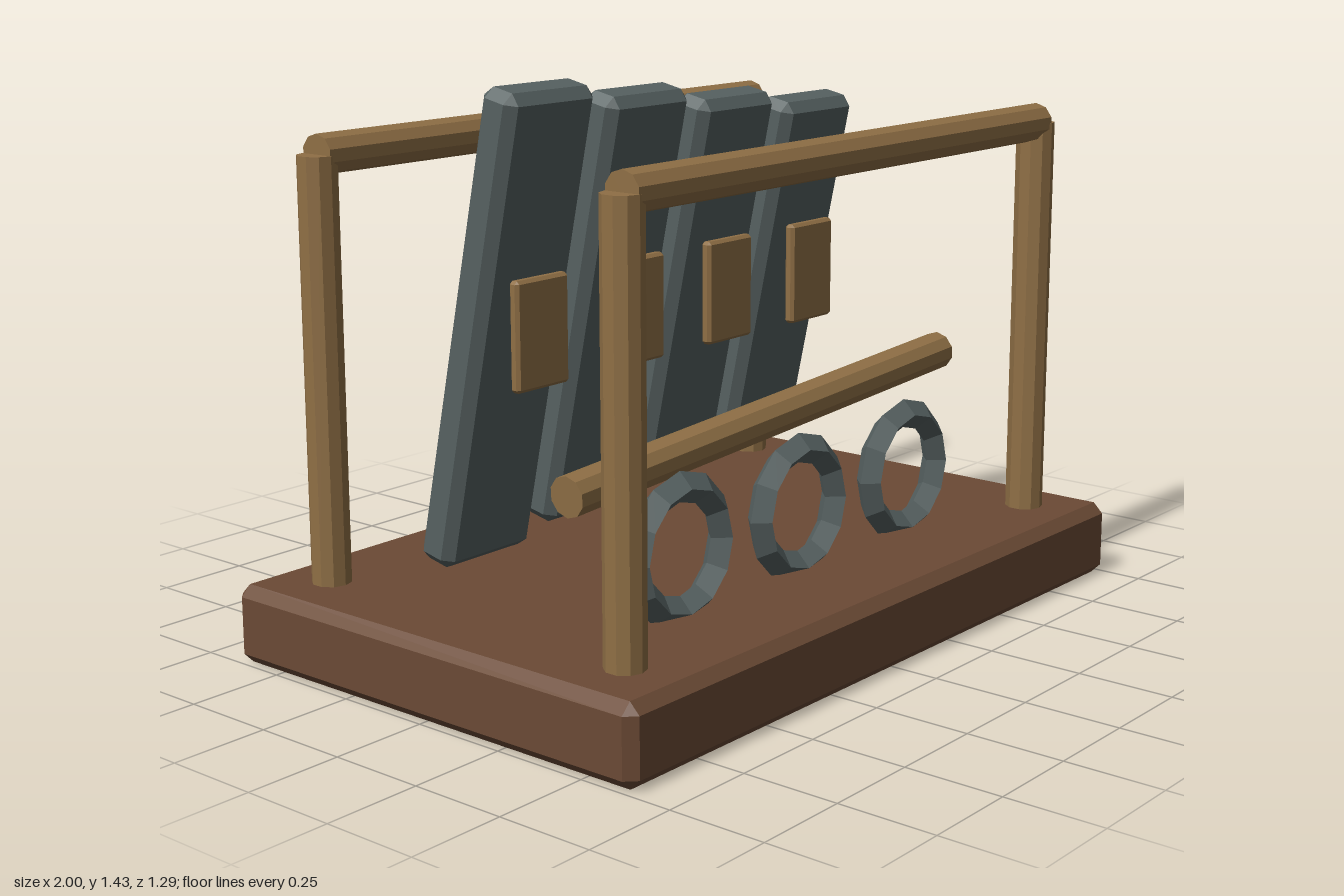
import * as THREE from 'three';
import { ConvexGeometry } from 'three/addons/geometries/ConvexGeometry.js';

function flat(name, color) {
  const m = new THREE.MeshStandardMaterial({ color, flatShading: true });
  m.name = name;
  return m;
}

// Box with every edge cut by a flat chamfer c
function chamferBox(w, h, d, c) {
  const points = [];
  for (const x of [-w / 2, w / 2]) for (const y of [-h / 2, h / 2]) for (const z of [-d / 2, d / 2]) {
    const cx = Math.sign(x) * c, cy = Math.sign(y) * c, cz = Math.sign(z) * c;
    points.push(
      new THREE.Vector3(x, y - cy, z - cz),
      new THREE.Vector3(x - cx, y, z - cz),
      new THREE.Vector3(x - cx, y - cy, z));
  }
  return new ConvexGeometry(points);
}

// Ten-sided pole lying along x, with an edge on top
function lyingPole(length, radius) {
  return new THREE.CylinderGeometry(radius, radius, length, 10).rotateY(Math.PI / 2).rotateZ(Math.PI / 2);
}

export function createModel() {
  const group = new THREE.Group();
  const darkWood = flat('dark wood', 0x6b4a35);
  const lightWood = flat('light wood', 0x8f6f45);
  const slate = flat('slate', 0x566161);

  function add(name, geometry, material, x, y, z) {
    const mesh = new THREE.Mesh(geometry, material);
    mesh.name = name;
    mesh.position.set(x, y, z);
    group.add(mesh);
    return mesh;
  }

  // Base board
  add('base', chamferBox(2, 0.2, 1.29, 0.027), darkWood, 0, 0.1, 0);

  // Front and back frames
  for (const [side, z] of [['front', 0.48], ['back', -0.48]]) {
    for (const x of [-0.83, 0.83]) {
      add(side + 'Post', new THREE.CylinderGeometry(0.05, 0.05, 1.07, 10), lightWood, x, 0.72, z);
    }
    add(side + 'Rail', lyingPole(1.66, 0.05), lightWood, 0, 1.255, z);
  }

  // Leaning slabs, shorter towards the left, each with an upright plaque
  for (let i = 0; i < 4; i++) {
    const x = -0.545 + i * 0.355;
    const slab = add('slab', chamferBox(0.3, 1.2 - i * 0.075, 0.11, 0.025), slate, x, 0.838, -0.145);
    slab.rotation.x = 0.21;
    add('plaque', chamferBox(0.18, 0.27, 0.03, 0.008), lightWood, x, 0.84, -0.035);
  }

  // Sloping striker bar
  const bar = add('strikerBar', lyingPole(1.49, 0.05), lightWood, -0.045, 0.586, 0.272);
  bar.rotation.z = 0.058;

  // Rings sunk slightly into the base
  for (const x of [-0.46, 0, 0.46]) {
    add('ring', new THREE.TorusGeometry(0.153, 0.038, 4, 12), slate, x, 0.353, 0.327);
  }

  return group;
}
